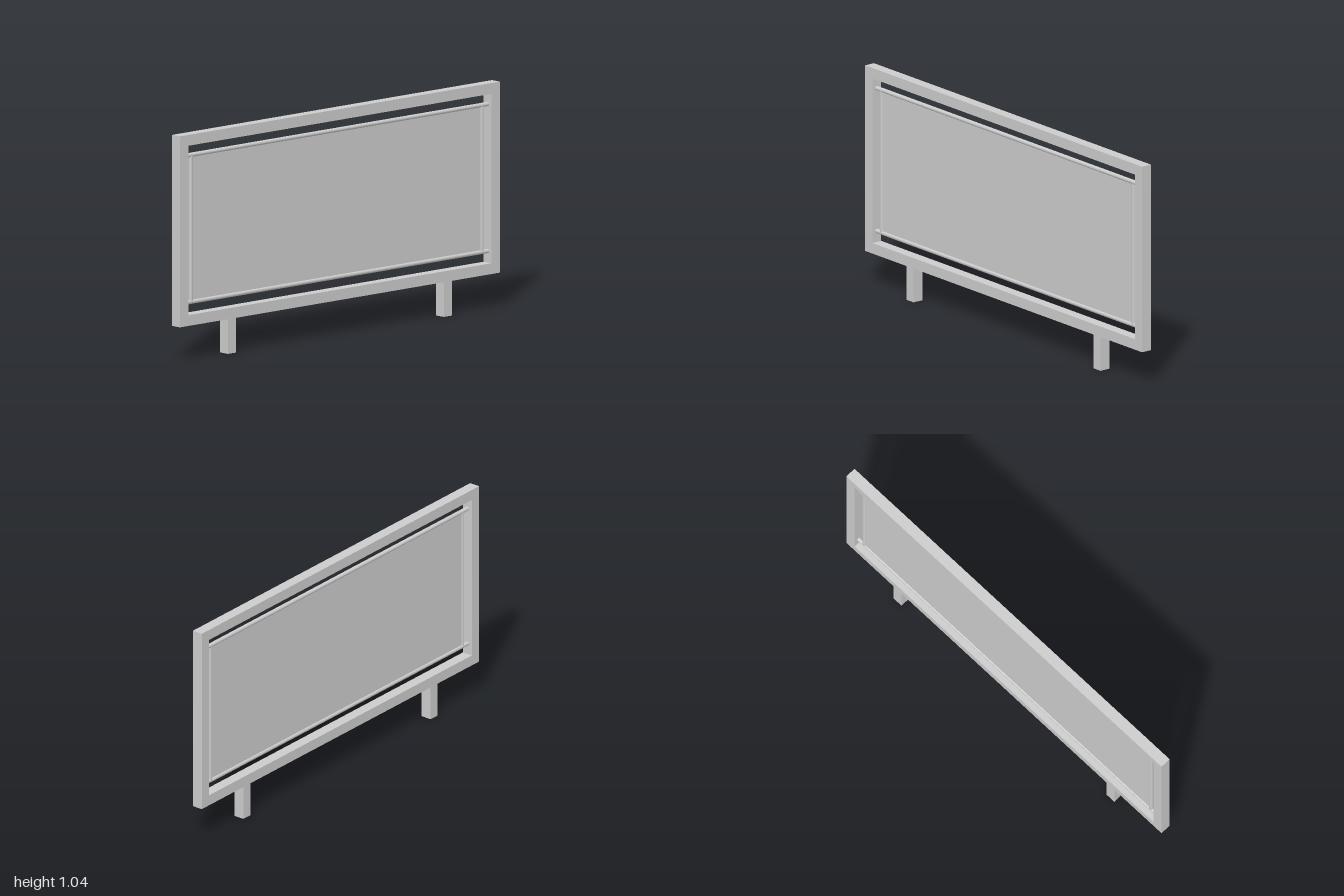
import * as THREE from 'three';

export function createModel() {
  const model = new THREE.Group();
  const material = new THREE.MeshStandardMaterial({ color: 0xcccccc });
  const depth = 0.052;

  const add = (name, geometry, x, y, z = 0) => {
    const mesh = new THREE.Mesh(geometry, material);
    mesh.name = name;
    mesh.position.set(x, y, z);
    model.add(mesh);
    return mesh;
  };

  // Outer frame: a rectangle with a rectangular opening
  const rectangle = (Type, x, y0, y1) => new Type([
    new THREE.Vector2(-x, y0), new THREE.Vector2(x, y0),
    new THREE.Vector2(x, y1), new THREE.Vector2(-x, y1),
  ]);
  const outline = rectangle(THREE.Shape, 1, 0.16, 1.04);
  outline.holes.push(rectangle(THREE.Path, 0.948, 0.21, 0.99));
  add('frame', new THREE.ExtrudeGeometry(outline, { depth, bevelEnabled: false }), 0, 0, -depth / 2);

  // Thin panel hung inside the frame
  const bottom = 0.263, top = 0.94, side = 0.909;
  add('panel', new THREE.BoxGeometry(2 * side, top - bottom, 0.006), 0, (top + bottom) / 2);

  // Round rails above and below the panel, reaching the frame sides
  const radius = 0.01;
  for (const [name, y] of [['topRail', top], ['bottomRail', bottom]]) {
    add(name, new THREE.CylinderGeometry(radius, radius, 1.904, 16), 0, y).rotation.z = Math.PI / 2;
  }

  // Side rods and feet, mirrored
  for (const [label, s] of [['left', 1], ['right', -1]]) {
    add(label + 'Rod', new THREE.CylinderGeometry(radius, radius, top - bottom, 16), s * side, (top + bottom) / 2);
    add(label + 'Foot', new THREE.BoxGeometry(0.05, 0.16, depth), s * 0.675, 0.08);
  }
  return model;
}
